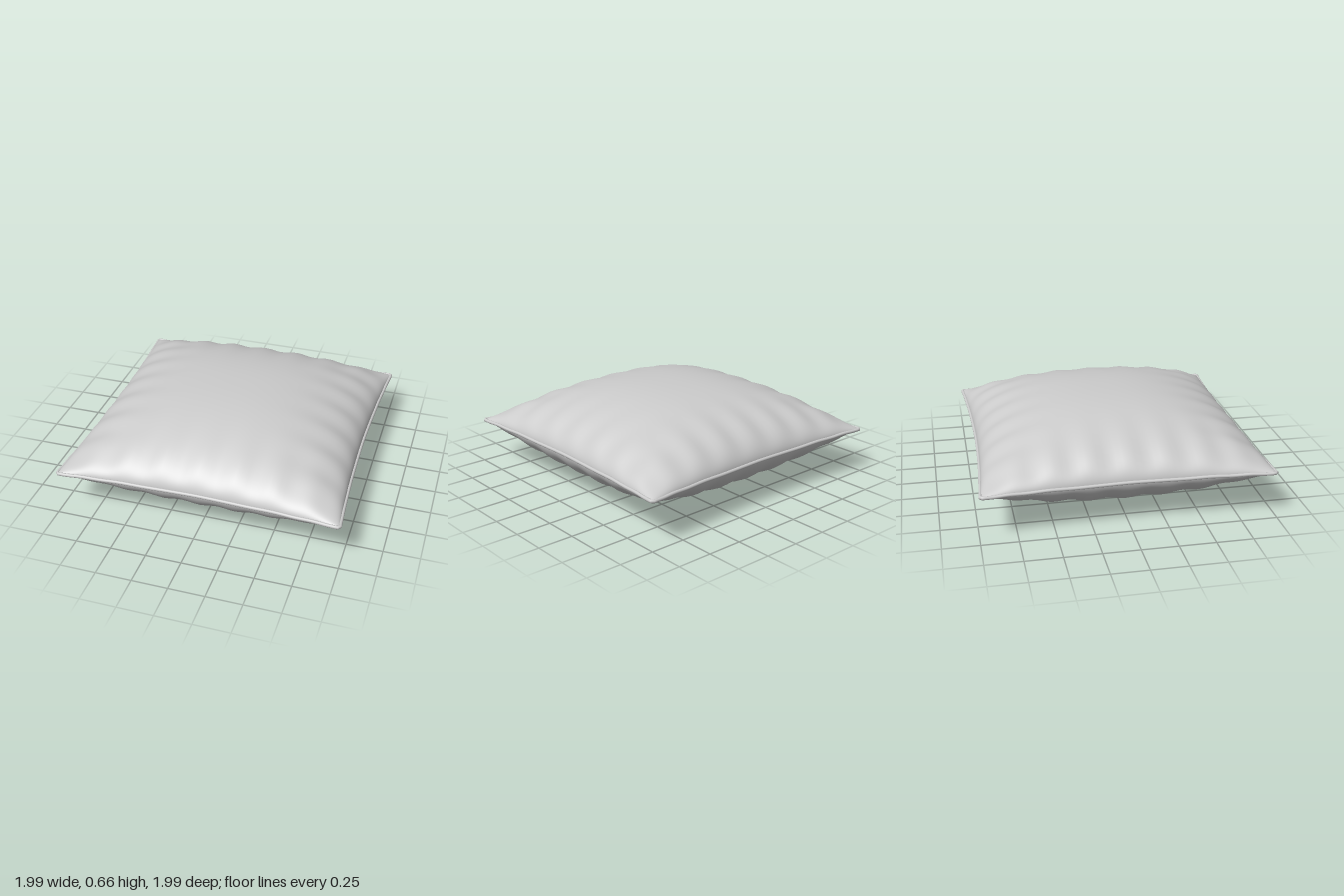
import * as THREE from 'three';

const SEAM_Y = 0.33;
const PUFF = 0.328;
const material = new THREE.MeshStandardMaterial({ color: 0xcccccc, side: THREE.DoubleSide });

// Sides curve inward between the four pointed corners
const sideAt = (v) => 0.946 + 0.042 * Math.pow(Math.abs(v), 1.9);

// Puffed height across one axis: flat in the middle, steep at the seam
const swell = (u) => Math.pow(Math.max(0, 1 - Math.pow(Math.abs(u), 2.3)), 0.55);

// Soft gathers that run in from the seam and fade out
const gather = (u, v) => {
  const near = Math.pow(Math.abs(u), 6) * (1 - u * u) * 4;
  return 0.02 * near * Math.cos(v * 24) * (1 - Math.pow(v, 4));
};

// One fabric half: a grid with rows crowded towards the seam
function makePanel(name, direction) {
  const geometry = new THREE.PlaneGeometry(2, 2, 72, 72);
  geometry.rotateX(-direction * Math.PI / 2);
  const p = geometry.attributes.position;
  for (let i = 0; i < p.count; i++) {
    const u = Math.sin(p.getX(i) * Math.PI / 2);
    const v = Math.sin(p.getZ(i) * Math.PI / 2);
    const height = PUFF * swell(u) * swell(v) + gather(u, v) + gather(v, u);
    p.setXYZ(i, u * (sideAt(v) - 0.004), SEAM_Y + direction * Math.max(0, height), v * (sideAt(u) - 0.004));
  }
  geometry.computeVertexNormals();
  const mesh = new THREE.Mesh(geometry, material);
  mesh.name = name;
  return mesh;
}

// Piping around the seam, with tightly rounded corners
function makePiping() {
  const points = [];
  const steps = 16;
  for (let side = 0; side < 4; side++) {
    const angle = side * Math.PI / 2;
    for (let i = 0; i <= steps; i++) {
      const v = 0.972 * Math.sin((i / steps - 0.5) * Math.PI);
      const point = new THREE.Vector3(sideAt(v), SEAM_Y + 0.002 * Math.cos(v * 24), -v);
      points.push(point.applyAxisAngle(new THREE.Vector3(0, 1, 0), angle));
    }
  }
  const path = new THREE.CatmullRomCurve3(points, true);
  const mesh = new THREE.Mesh(new THREE.TubeGeometry(path, 400, 0.012, 10, true), material);
  mesh.name = 'seamPiping';
  return mesh;
}

export function createModel() {
  const cushion = new THREE.Group();
  cushion.name = 'cushion';
  cushion.add(makePanel('topPanel', 1), makePanel('bottomPanel', -1), makePiping());
  return cushion;
}
